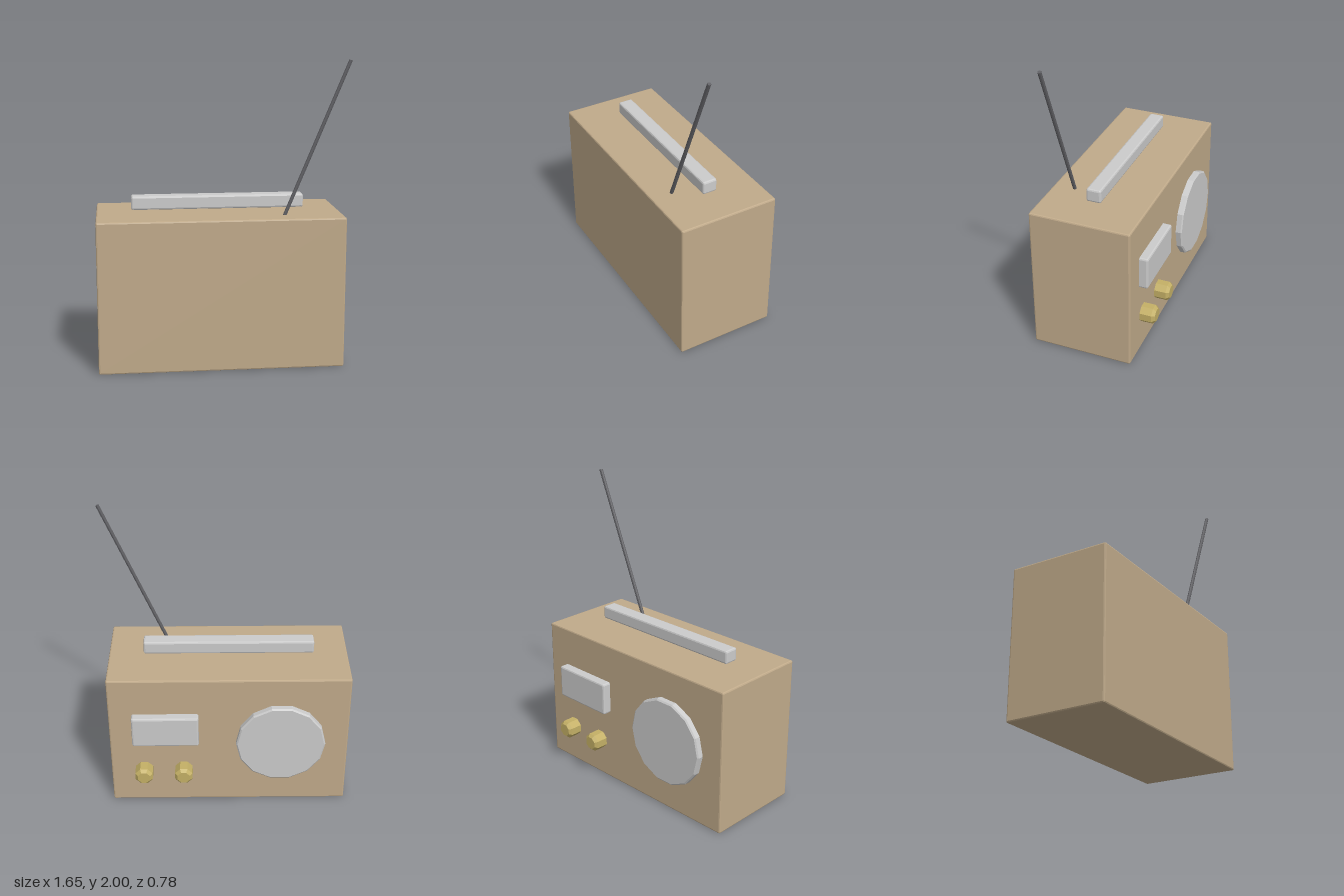
import * as THREE from 'three';
import { RoundedBoxGeometry } from 'three/addons/geometries/RoundedBoxGeometry.js';

const paint = (color) => new THREE.MeshStandardMaterial({ color, flatShading: true });

export function createModel() {
  const radio = new THREE.Group();
  radio.name = 'portableRadio';
  const wood = paint(0xc0aa8a), grey = paint(0xcccccc), brass = paint(0xc4b066), dark = paint(0x606064);

  const add = (name, geometry, material) => {
    const mesh = new THREE.Mesh(geometry, material);
    mesh.name = name;
    radio.add(mesh);
    return mesh;
  };

  // Box with chamfered edges, given by its two corners
  const box = (name, min, max, bevel, material) => {
    const a = new THREE.Vector3(...min), b = new THREE.Vector3(...max);
    const size = b.clone().sub(a);
    add(name, new RoundedBoxGeometry(size.x, size.y, size.z, 1, bevel), material)
      .position.copy(a.add(b).multiplyScalar(0.5));
  };

  // Faceted disc with a flat side on top, pointing towards -z; profile is [radius, depth]
  const disc = (name, profile, sides, x, y, material) => {
    const points = profile.map(([r, d]) => new THREE.Vector2(r, d));
    const mesh = add(name, new THREE.LatheGeometry(points, sides, Math.PI / sides), material);
    mesh.rotation.x = -Math.PI / 2;
    mesh.position.set(x, y, -0.28);
  };

  // Cabinet, carrying handle and tuning display
  box('cabinet', [-0.825, 0, -0.29], [0.78, 1, 0.39], 0.01, wood);
  box('handle', [-0.595, 1.02, 0], [0.545, 1.11, 0.1], 0.012, grey);
  box('display', [0.18, 0.51, -0.35], [0.625, 0.735, -0.27], 0.012, grey);

  // Round speaker
  disc('speaker', [[0, 0], [0.3, 0], [0.3, 0.045], [0.29, 0.053], [0, 0.053]], 14, -0.37, 0.505, grey);

  // Pair of octagonal knobs with bevelled rims
  for (const x of [0.285, 0.555]) {
    disc('knob', [[0, 0], [0.064, 0], [0.064, 0.09], [0.045, 0.11], [0, 0.11]], 8, x, 0.27, brass);
  }

  // Slanted antenna
  const foot = new THREE.Vector3(0.394, 0.99, 0.245), tip = new THREE.Vector3(0.812, 1.995, 0.245);
  const along = tip.clone().sub(foot);
  const antenna = add('antenna', new THREE.CylinderGeometry(0.012, 0.012, along.length(), 8), dark);
  antenna.position.copy(foot).add(tip).multiplyScalar(0.5);
  antenna.quaternion.setFromUnitVectors(new THREE.Vector3(0, 1, 0), along.normalize());

  return radio;
}
